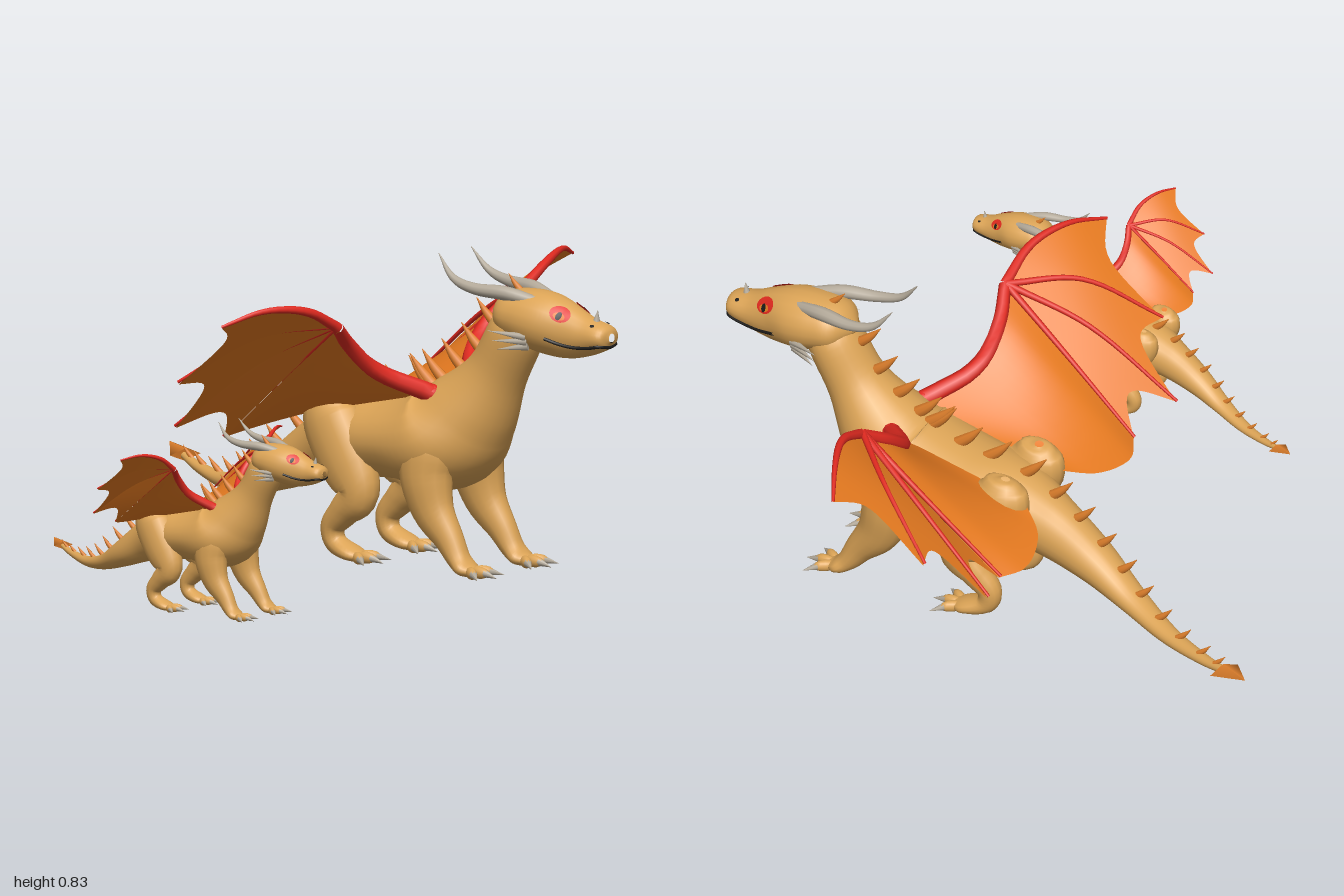
import * as THREE from 'three';

const V = (x, y, z) => new THREE.Vector3(x, y, z);
const X = V(1, 0, 0), Y = V(0, 1, 0);
const mat = (name, color, side = THREE.FrontSide) => {
  const m = new THREE.MeshStandardMaterial({ color, side });
  m.name = name;
  return m;
};

// Smooth surface through elliptical sections [x, y, z, sideRadius, upRadius]
function surface(rows, ref = X) {
  const n = rows.length - 1;
  const path = new THREE.CatmullRomCurve3(rows.map(r => V(r[0], r[1], r[2])), false, 'catmullrom', 0.5);
  const radii = new THREE.CatmullRomCurve3(rows.map(r => V(r[3], r[4] ?? r[3], 0)), false, 'catmullrom', 0.5);
  return (i, a, lift = 0) => {
    const u = Math.min(1, Math.max(0, i / n));
    const t = path.getTangent(u), r = radii.getPoint(u);
    const side = ref.clone().addScaledVector(t, -t.dot(ref)).normalize();
    const up = side.clone().cross(t);
    return path.getPoint(u)
      .addScaledVector(side, Math.cos(a) * (Math.max(r.x, 0.0008) + lift))
      .addScaledVector(up, Math.sin(a) * (Math.max(r.y, 0.0008) + lift));
  };
}

function gridGeometry(nu, nv, wrap, point) {
  const pos = [], index = [], w = wrap ? nv : nv + 1;
  for (let i = 0; i <= nu; i++)
    for (let j = 0; j < w; j++) pos.push(...point(i / nu, j / nv).toArray());
  for (let i = 0; i < nu; i++)
    for (let j = 0; j < nv; j++) {
      const k = (j + 1) % w, a = i * w + j, b = a + w, c = i * w + k, d = c + w;
      index.push(a, b, c, b, d, c);
    }
  const g = new THREE.BufferGeometry();
  g.setAttribute('position', new THREE.Float32BufferAttribute(pos, 3));
  g.setIndex(index);
  g.computeVertexNormals();
  return g;
}

function loft(rows, radial = 12, steps = 5, ref = X) {
  const f = surface(rows, ref), n = rows.length - 1;
  return gridGeometry(n * steps, radial, true, (u, v) => f(u * n, v * Math.PI * 2));
}

function add(group, name, geometry, material) {
  const m = new THREE.Mesh(geometry, material);
  m.name = name;
  group.add(m);
  return m;
}

function cone(group, name, base, dir, r, len, material) {
  const m = add(group, name, new THREE.ConeGeometry(r, len, 8).translate(0, len / 2, 0), material);
  m.position.copy(base);
  m.quaternion.setFromUnitVectors(Y, dir.clone().normalize());
}

const BODY = [
  [0, 0.71, 0.55, 0.03], [0, 0.655, 0.53, 0.078, 0.07], [0, 0.53, 0.46, 0.084, 0.08],
  [0, 0.42, 0.38, 0.126, 0.122], [0, 0.345, 0.295, 0.172, 0.145], [0, 0.325, 0.15, 0.158, 0.11],
  [0, 0.31, 0, 0.125, 0.105], [0, 0.265, -0.12, 0.082, 0.085], [0.006, 0.2, -0.25, 0.062, 0.058],
  [0.042, 0.145, -0.38, 0.043, 0.034], [0.105, 0.121, -0.52, 0.028, 0.022],
  [0.17, 0.131, -0.66, 0.017, 0.014], [0.217, 0.153, -0.76, 0.009]];
const HEAD = [
  [0, 0.655, 0.836, 0.012], [0, 0.655, 0.82, 0.044, 0.032], [0, 0.652, 0.76, 0.052, 0.053],
  [0, 0.658, 0.70, 0.064, 0.072], [0, 0.673, 0.63, 0.086, 0.08], [0, 0.684, 0.56, 0.088, 0.074],
  [0, 0.69, 0.50, 0.072, 0.056], [0, 0.69, 0.455, 0.002]];
const FRONT_LEG = [
  [0.07, 0.42, 0.29, 0.02], [0.09, 0.34, 0.305, 0.066, 0.085], [0.105, 0.25, 0.307, 0.062, 0.075],
  [0.109, 0.165, 0.332, 0.048, 0.06], [0.11, 0.095, 0.385, 0.036, 0.041], [0.112, 0.045, 0.42, 0.034, 0.029],
  [0.113, 0.022, 0.45, 0.04, 0.02], [0.113, 0.016, 0.485, 0.012, 0.008]];
const HIND_LEG = [
  [0.09, 0.437, -0.03, 0.012], [0.092, 0.422, -0.028, 0.038, 0.055], [0.096, 0.365, -0.015, 0.06, 0.085],
  [0.108, 0.26, 0.05, 0.058, 0.085], [0.116, 0.185, 0.09, 0.047, 0.06], [0.116, 0.135, 0.045, 0.038, 0.043],
  [0.114, 0.09, 0.005, 0.031, 0.034], [0.113, 0.045, 0.015, 0.03, 0.028], [0.113, 0.022, 0.075, 0.04, 0.019],
  [0.113, 0.016, 0.115, 0.012, 0.008]];

function buildHead(M) {
  const head = new THREE.Group();
  head.name = 'head';
  add(head, 'skull', loft(HEAD, 20, 6), M.hide);
  const skin = surface(HEAD), deg = Math.PI / 180;
  // Thin painted ellipse that follows the skin
  const patch = (name, i, a, di, da, lift, material) => [1, -1].forEach(side => {
    const g = new THREE.RingGeometry(0.001, 1, 20, 4), p = g.attributes.position;
    for (let k = 0; k < p.count; k++) {
      const ang = (a + p.getY(k) * da) * deg;
      const q = skin(i + p.getX(k) * di, side > 0 ? ang : Math.PI - ang, lift);
      p.setXYZ(k, q.x, q.y, q.z);
    }
    g.computeVertexNormals();
    add(head, name, g, material);
  });
  patch('eyePatch', 3.05, 45, 0.47, 19, 0.003, M.eyeRed);
  patch('eye', 3.05, 38, 0.27, 8, 0.005, M.membrane);
  patch('pupil', 3.05, 38, 0.13, 9, 0.007, M.black);
  patch('nostril', 1.4, 50, 0.1, 6, 0.003, M.black);
  // Mouth line wraps round the snout
  const lips = [];
  for (let k = -6; k <= 6; k++) {
    const t = Math.abs(k) / 6, a = -(42 - 28 * t) * deg;
    lips.push(k === 0 ? skin(0.5, -Math.PI / 2, 0.003)
      : skin(0.5 + 2.9 * t, k > 0 ? a : Math.PI - a, 0.001));
  }
  add(head, 'mouth', new THREE.TubeGeometry(new THREE.CatmullRomCurve3(lips), 48, 0.0045, 6), M.black);
  cone(head, 'noseHorn', V(0, 0.69, 0.785), V(0, 1, 0.15), 0.011, 0.035, M.horn);
  for (const x of [1, -1]) {
    add(head, 'horn', loft([[x * 0.036, 0.732, 0.615, 0.014], [x * 0.058, 0.748, 0.53, 0.019],
      [x * 0.074, 0.753, 0.44, 0.015], [x * 0.075, 0.775, 0.37, 0.01], [x * 0.067, 0.832, 0.317, 0.001]], 10), M.horn);
    for (let k = 0; k < 3; k++)
      cone(head, 'cheekSpike', V(x * (0.064 + k * 0.005), 0.618 + k * 0.013, 0.61),
        V(x * 0.48, 0.14 * (k - 1), -1), 0.011, 0.085 + k * 0.01, M.horn);
  }
  return head;
}

function buildLeg(M, rows, x, name) {
  const leg = new THREE.Group();
  leg.name = name;
  add(leg, 'limb', loft(rows.map(r => [r[0] * x, ...r.slice(1)]), 14), M.hide);
  const foot = rows[rows.length - 2];
  for (const a of [-0.65, 0, 0.65]) {
    const dir = V(Math.sin(a), 0, Math.cos(a));
    const base = V(foot[0] * x, 0.017, foot[2]).addScaledVector(dir, 0.036);
    const toe = add(leg, 'toe', new THREE.SphereGeometry(1, 10, 8), M.hide);
    toe.scale.set(0.014, 0.016, 0.033);
    toe.rotation.y = a;
    toe.position.copy(base);
    cone(leg, 'claw', base.addScaledVector(dir, 0.02), dir.setY(-0.25), 0.011, 0.042, M.horn);
  }
  return leg;
}

function buildWing(M, x, size, tilt) {
  const wing = new THREE.Group();
  wing.name = x > 0 ? 'leftWing' : 'rightWing';
  const root = V(x * 0.085, 0.465, 0.31);
  const line = (...p) => new THREE.CatmullRomCurve3(p.map(q => V(q[0] * x, q[1], q[2]).sub(root)));
  const wrist = [0.385, 0.67, 0.235];
  const arm = line(wrist, [0.3, 0.61, 0.205], [0.2, 0.53, 0.215], [0.085, 0.465, 0.31]);
  const fingers = [
    line(wrist, [0.5, 0.726, 0.225], [0.62, 0.738, 0.18], [0.73, 0.705, 0.125]),
    line(wrist, [0.53, 0.645, 0.09], [0.637, 0.52, -0.09]),
    line(wrist, [0.46, 0.56, 0.03], [0.505, 0.375, -0.205]),
    line(wrist, [0.375, 0.505, 0.04], [0.36, 0.335, -0.16])];
  const hem = line([0.36, 0.335, -0.16], [0.28, 0.33, -0.195], [0.16, 0.348, -0.165], [0.08, 0.378, -0.08]);
  const bone = (name, curve, r0, r1) => {
    const rows = [];
    for (let k = 0; k <= 8; k++) rows.push([...curve.getPoint(k / 8).toArray(), r0 + (r1 - r0) * k / 8]);
    return add(wing, name, loft(rows, 8, 2, Y), M.red);
  };
  bone('arm', arm, 0.016, 0.025);
  add(wing, 'shoulderJoint', new THREE.SphereGeometry(0.025, 12, 8), M.red);
  bone('leadingFinger', fingers[0], 0.015, 0.004);
  // Ribs lie on the upper side of the skin
  for (const f of fingers.slice(1))
    bone('finger', f, 0.0095, 0.004).position.set(-0.4 * x, 0.71, -0.58).multiplyScalar(0.0075);
  // Scalloped skin between fingers, then the panel down to the body
  for (let k = 0; k < 3; k++)
    add(wing, 'membrane', gridGeometry(12, 12, false, (s, t) => {
      const q = t * (1 - 0.17 * Math.sin(Math.PI * s));
      return fingers[k].getPoint(q).lerp(fingers[k + 1].getPoint(q), s);
    }), M.membrane);
  add(wing, 'membrane', gridGeometry(16, 10, false,
    (s, t) => arm.getPoint(s).lerp(hem.getPoint(s), t)), M.membrane);
  wing.position.copy(root);
  wing.scale.setScalar(size);
  wing.rotation.z = x * tilt;
  return wing;
}

function buildDragon(M, name, wingSize, wingTilt) {
  const g = new THREE.Group();
  g.name = name;
  add(g, 'body', loft(BODY, 24, 6), M.hide);
  g.add(buildHead(M));
  for (const x of [1, -1]) {
    g.add(buildLeg(M, FRONT_LEG, x, 'frontLeg'), buildLeg(M, HIND_LEG, x, 'hindLeg'));
    g.add(buildWing(M, x, wingSize, wingTilt));
  }
  // Backswept spikes from crown to tail
  const skin = surface(BODY);
  const spike = (p, len) => {
    const at = (b, u, r) => [p.x, p.y + u * len, p.z - b * len, r * len, r * len * 1.2];
    add(g, 'backSpike', loft([at(-0.1, -0.12, 0.17), at(0.35, 0.28, 0.125), at(0.8, 0.78, 0.005)], 8, 3), M.spike);
  };
  spike(V(0, 0.75, 0.535), 0.05);
  for (let k = 0; k < 18; k++) {
    const i = 1.3 + k * 0.6;
    spike(skin(i, Math.PI / 2), i < 8 ? 0.06 + 0.028 * Math.sin(Math.PI * i / 8) : 0.064 - (i - 8) * 0.008);
  }
  // Flat arrow at the tail tip
  const arrow = new THREE.Group();
  arrow.name = 'tailTip';
  const tip = add(arrow, 'tailBlade', new THREE.ConeGeometry(0.044, 0.097, 4).translate(0, 0.0485, 0), M.spike);
  tip.scale.z = 0.4;
  tip.rotation.x = -Math.PI / 2 + 0.22;
  arrow.position.set(0.213, 0.152, -0.745);
  arrow.rotation.y = -0.45;
  g.add(arrow);
  return g;
}

export function createModel() {
  const M = {
    hide: mat('tan hide', 0xdca456),
    red: mat('red wing bone', 0xe02a20),
    eyeRed: mat('red eye patch', 0xe02a1e, THREE.DoubleSide),
    membrane: mat('orange membrane', 0xe67a20, THREE.DoubleSide),
    spike: mat('orange spike', 0xde7f2c),
    horn: mat('grey horn', 0xb4aa9a),
    black: mat('black', 0x1c1a18, THREE.DoubleSide),
  };
  const model = new THREE.Group();
  model.name = 'dragons';
  const adult = buildDragon(M, 'adultDragon', 1, 0);
  adult.position.x = 0.267;
  const young = buildDragon(M, 'youngDragon', 0.765, 0.14);
  young.scale.setScalar(0.612);
  young.position.set(-0.663, 0, 0.115);
  model.add(adult, young);
  return model;
}
